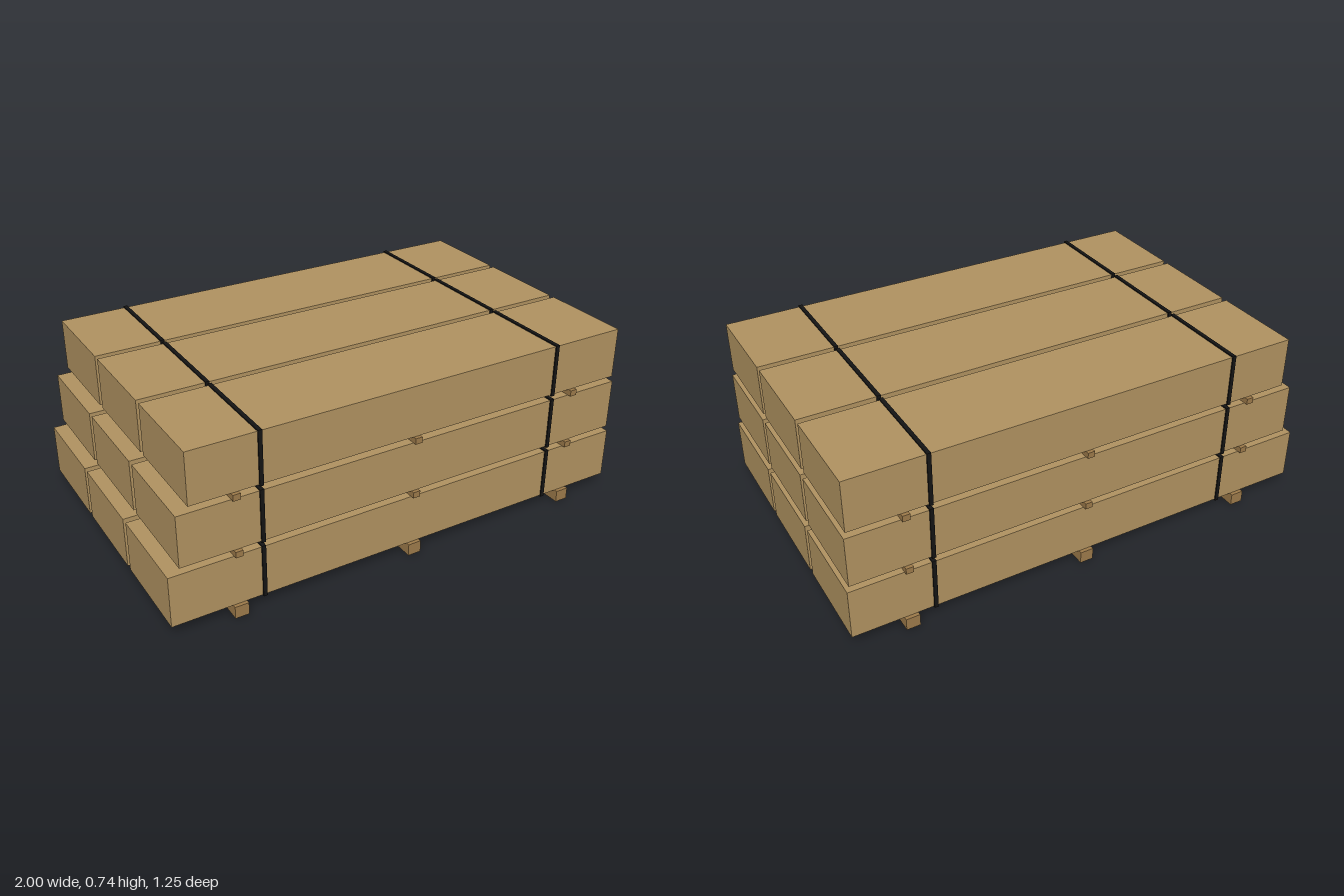
import * as THREE from 'three';

const beamMat = new THREE.MeshStandardMaterial({ color: 0xb09260 });
const battenMat = new THREE.MeshStandardMaterial({ color: 0x9c7a4a });
const strapMat = new THREE.MeshStandardMaterial({ color: 0x141414 });

const BEAM_H = 0.211, BEAM_D = 0.388, PITCH_Z = 0.414;
const BEARER_H = 0.05, SPACER_H = 0.025;
const STRAP_W = 0.016, STRAP_T = 0.005;

function box(name, mat, w, h, d, x, y, z) {
  const mesh = new THREE.Mesh(new THREE.BoxGeometry(w, h, d), mat);
  mesh.name = name;
  mesh.position.set(x, y, z);
  return mesh;
}

// Rectangular band lying in the YZ plane, wrapped around one beam
function strapGeometry() {
  const rect = (path, a, b) =>
    path.moveTo(-a, -b).lineTo(a, -b).lineTo(a, b).lineTo(-a, b).closePath();
  const a = BEAM_D / 2, b = BEAM_H / 2;
  const shape = new THREE.Shape();
  rect(shape, a + STRAP_T, b + STRAP_T);
  const hole = new THREE.Path();
  rect(hole, a, b);
  shape.holes.push(hole);
  return new THREE.ExtrudeGeometry(shape, { depth: STRAP_W, bevelEnabled: false })
    .translate(0, 0, -STRAP_W / 2)
    .rotateY(Math.PI / 2);
}

export function createModel() {
  const model = new THREE.Group();
  model.name = 'timberStack';
  const strapGeo = strapGeometry();
  const battenX = [-0.733, 0.017, 0.767];
  const strapX = [-0.632, 0.667];
  // Left and right ends of the beams in each layer
  const layers = [[-1, 1], [-0.955, 0.992], [-0.908, 0.985]];

  layers.forEach(([x0, x1], i) => {
    const base = BEARER_H + i * (BEAM_H + SPACER_H);
    const layer = new THREE.Group();
    layer.name = 'layer' + (i + 1);

    // Bearers below the first layer, thin spacers below the others
    const [name, w, h] = i === 0 ? ['bearer', 0.056, BEARER_H] : ['spacer', 0.03, SPACER_H];
    for (const x of battenX) {
      layer.add(box(name, battenMat, w, h, 1.246, x, base - h / 2, 0));
    }

    // Three beams side by side, each with two straps
    for (const k of [-1, 0, 1]) {
      const y = base + BEAM_H / 2, z = k * PITCH_Z;
      layer.add(box('beam', beamMat, x1 - x0, BEAM_H, BEAM_D, (x0 + x1) / 2, y, z));
      for (const x of strapX) {
        const strap = new THREE.Mesh(strapGeo, strapMat);
        strap.name = 'strap';
        strap.position.set(x, y, z);
        layer.add(strap);
      }
    }
    model.add(layer);
  });
  return model;
}
